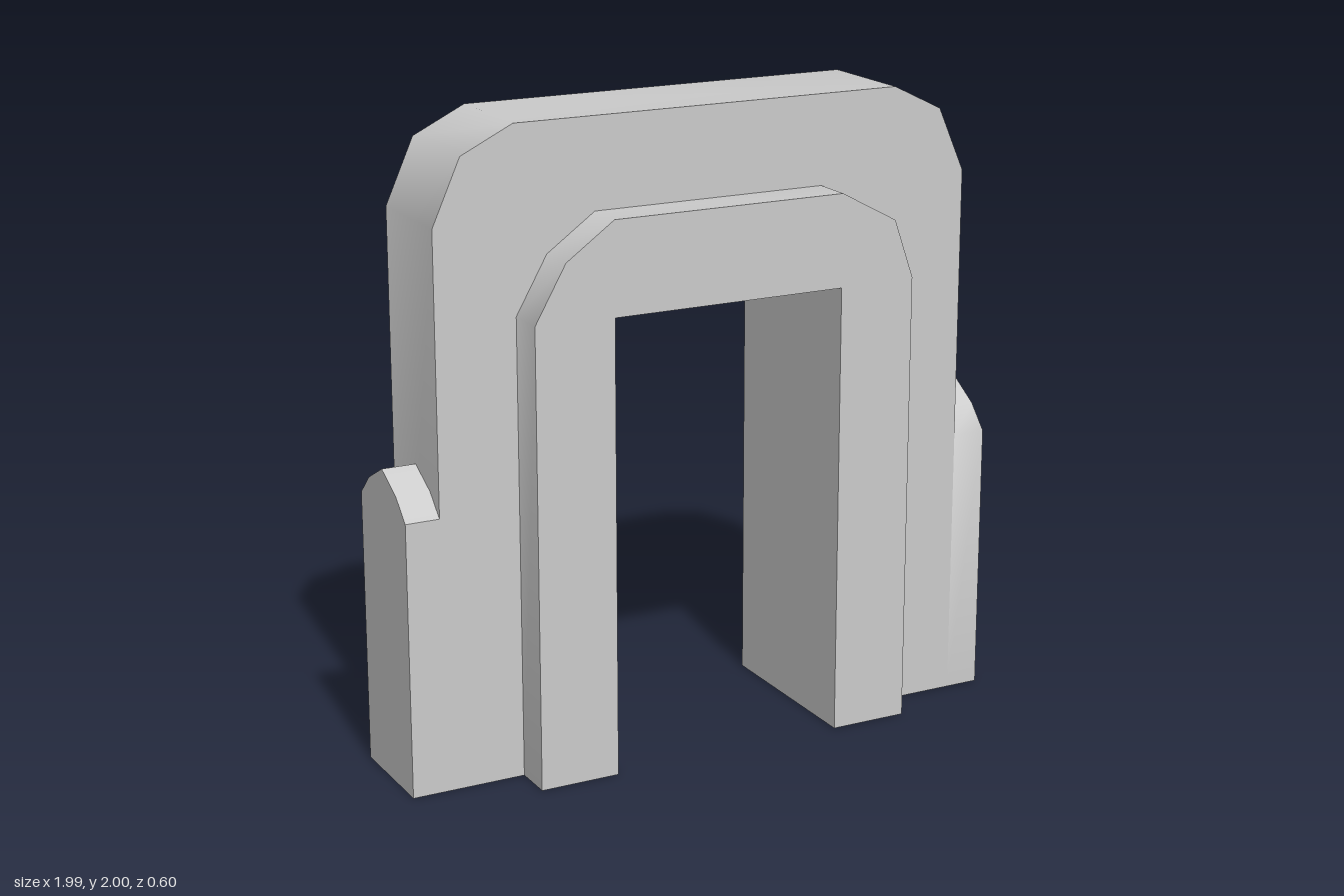
import * as THREE from 'three';
import { toCreasedNormals } from 'three/addons/utils/BufferGeometryUtils.js';

const HALF_CORE = 0.172; // half depth of the main arch
const HALF_RIB = 0.3;    // half depth including the raised ribs

// Extrude an outline along z, starting at z = start
function extrude(points, start, depth) {
  const shape = new THREE.Shape(points.map(([x, y]) => new THREE.Vector2(x, y)));
  const geometry = new THREE.ExtrudeGeometry(shape, { depth, bevelEnabled: false });
  geometry.translate(0, 0, start);
  return toCreasedNormals(geometry, 0.8);
}

// Close an outer contour around the door opening
const withOpening = (outer) => [...outer, [0.38, 0], [0.38, 1.43], [-0.38, 1.43], [-0.38, 0]];

export function createModel() {
  const group = new THREE.Group();
  const material = new THREE.MeshStandardMaterial({ color: 0xcccccc });
  const add = (name, geometry) => {
    const mesh = new THREE.Mesh(geometry, material);
    mesh.name = name;
    group.add(mesh);
    return mesh;
  };

  // Main arch with chamfered shoulders
  const archOutline = withOpening([
    [-0.89, 0], [-0.89, 1.72], [-0.8, 1.92], [-0.635, 2],
    [0.635, 2], [0.797, 1.92], [0.885, 1.72], [0.885, 0],
  ]);
  add('arch', extrude(archOutline, -HALF_CORE, 2 * HALF_CORE));

  // Raised rib around the opening, front and back
  const ribOutline = withOpening([
    [-0.635, 0], [-0.635, 1.435], [-0.535, 1.61], [-0.38, 1.72],
    [0.38, 1.72], [0.565, 1.62], [0.63, 1.435], [0.63, 0],
  ]);
  const ribDepth = HALF_RIB - HALF_CORE;
  add('frontRib', extrude(ribOutline, HALF_CORE, ribDepth));
  add('backRib', extrude(ribOutline, -HALF_RIB, ribDepth));

  // Side buttresses with peaked tops; the outline's x runs along -z once turned
  const buttress = (name, peak, shoulder, x0, x1) => {
    const outline = [
      [-HALF_CORE, 0], [HALF_CORE, 0], [HALF_CORE, 0.86], [0.105, shoulder],
      [0, peak], [-0.105, shoulder], [-HALF_CORE, 0.86],
    ];
    add(name, extrude(outline, x0, x1 - x0)).rotation.y = Math.PI / 2;
  };
  buttress('leftButtress', 1.0, 0.935, 0.885, 0.993);
  buttress('rightButtress', 0.98, 0.925, -0.997, -0.89);

  return group;
}
